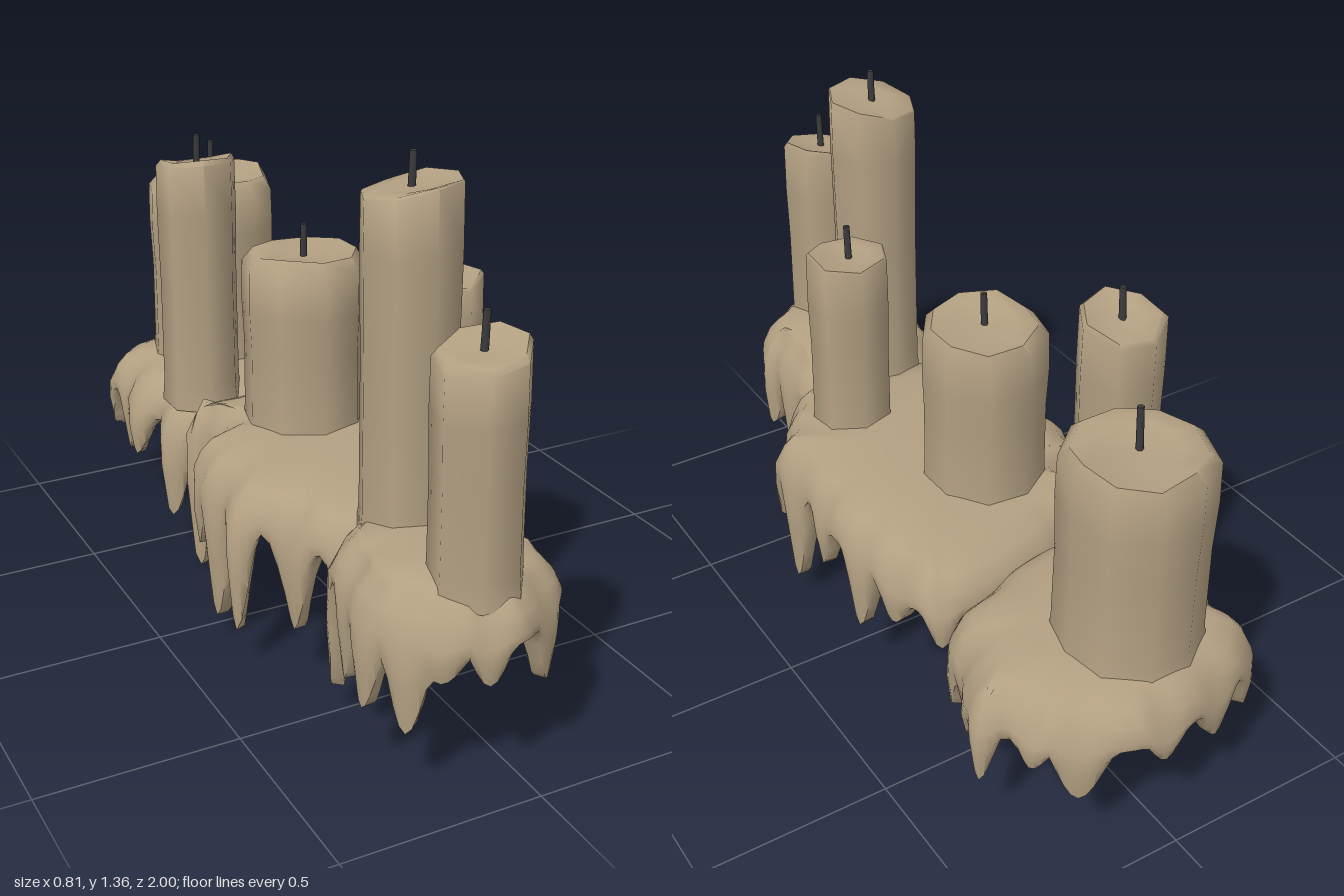
import * as THREE from 'three';
import { toCreasedNormals } from 'three/addons/utils/BufferGeometryUtils.js';

const wax = new THREE.MeshStandardMaterial({ color: 0xb3a082 });
wax.name = 'wax';
const char = new THREE.MeshStandardMaterial({ color: 0x3c3c3e });
char.name = 'charredWick';

let seed = 7;
const rand = () => (seed = (seed * 16807) % 2147483647) / 2147483647;

// Skin a list of closed rings (arrays of Vector3), from top centre outward and down
function loft(rings) {
  const n = rings[0].length, pos = [], idx = [];
  rings.forEach(r => r.forEach(p => pos.push(p.x, p.y, p.z)));
  for (let k = 0; k < rings.length - 1; k++) {
    for (let j = 0; j < n; j++) {
      const a = k * n + j, b = k * n + (j + 1) % n, c = a + n, d = b + n;
      idx.push(a, b, c, b, d, c);
    }
  }
  const g = new THREE.BufferGeometry();
  g.setAttribute('position', new THREE.Float32BufferAttribute(pos, 3));
  g.setIndex(idx);
  return toCreasedNormals(g, 1.15);
}

// Puddle of hardened wax with a hollow underside and a skirt of drips.
// outline: [x, z]; drips: [x, z, tip height]
function pool(name, cx, cz, top, samples, outline, drips) {
  const curve = new THREE.CatmullRomCurve3(
    outline.map(([x, z]) => new THREE.Vector3(x, 0, z)), true, 'catmullrom', 0.5);
  const edge = curve.getSpacedPoints(samples).slice(0, samples);
  const lip = top - 0.12;
  const tips = drips.map(([x, z, y], i) => {
    const q = new THREE.Vector3(x, 0, z);
    const p = edge.reduce((m, e) => (e.distanceTo(q) < m.distanceTo(q) ? e : m));
    return { p, y, w: 0.07 + 0.012 * (i % 3) };
  });
  // bottom height and drip strength at each sample
  const hang = edge.map(e => {
    let y = lip, s = 0;
    for (const t of tips) {
      const u = Math.min(1, e.distanceTo(t.p) / t.w);
      const f = Math.pow(Math.cos(u * Math.PI / 2), 1.7);
      y = Math.min(y, lip + (t.y - lip) * f);
      s = Math.max(s, f);
    }
    return { y, s };
  });
  const inward = edge.map((e, j) => {
    const t = edge[(j + 1) % samples].clone().sub(edge[(j + samples - 1) % samples]).normalize();
    return new THREE.Vector3(-t.z, 0, t.x);
  });
  const scaled = (s, y) => edge.map(e =>
    new THREE.Vector3(cx + (e.x - cx) * s, y, cz + (e.z - cz) * s));
  const offset = (d, y) => edge.map((e, j) => {
    const p = e.clone().addScaledVector(inward[j], d(hang[j]));
    p.y = y(hang[j]);
    return p;
  });
  const mesh = new THREE.Mesh(loft([
    scaled(0, top), scaled(0.45, top - 0.002), scaled(0.72, top - 0.012),
    offset(h => 0.048 + 0.012 * h.s, () => top - 0.032),
    offset(h => 0.02 + 0.012 * h.s, () => top - 0.064),
    offset(h => 0.004 - 0.002 * h.s, h => top - 0.1 - 0.025 * h.s),
    offset(h => 0.006 - 0.008 * h.s, h => lip + (h.y - lip) * 0.5),
    offset(h => 0.014 - 0.006 * h.s, h => h.y),
    offset(h => 0.045 - 0.005 * h.s, h => h.y),
    offset(h => 0.068, h => lip + 0.005 + (h.y - lip) * 0.4),
    scaled(0.72, top - 0.1), scaled(0, top - 0.1),
  ]), wax);
  mesh.name = name;
  return mesh;
}

// Candle with an uneven melted rim, pulled in toward +x / -z, a sunken top and a wick
function candle({ x, z, r, sides, base, top, tilt = [0, 0], dip, bevel, wick, turn = 0 }) {
  const g = new THREE.Group();
  g.name = 'candle';
  const wob = Array.from({ length: sides }, () => [0.96 + 0.09 * rand(), (rand() - 0.5) * 0.022]);
  const ring = (s, y, k, drop = 0, shift = 0) => wob.map(([wr, wy], j) => {
    const a = turn + j / sides * Math.PI * 2;
    const dx = Math.cos(a) * r * s * wr, dz = Math.sin(a) * r * s * wr;
    return new THREE.Vector3(
      x + dx + shift, y - drop + k * (wy + dx * tilt[0] + dz * tilt[1]), z + dz - shift);
  });
  const body = new THREE.Mesh(loft([
    ring(0, top, 0, dip), ring(0.55, top, 0.5, dip * 0.8), ring(1 - bevel, top, 1, 0, bevel * r * 0.4),
    ring(1.005, top, 1, bevel * r * 1.3), ring(1.02, top - 0.14, 0.4),
    ring(0.99, (top + base) / 2, 0), ring(1, base + 0.06, 0),
    ring(1.05, base, 0), ring(0, base, 0),
  ]), wax);
  body.name = 'candleBody';
  const h = wick - top + dip + 0.02;
  const stem = new THREE.Mesh(new THREE.CylinderGeometry(0.008, 0.009, h, 6), char);
  stem.position.set(x, wick - h / 2, z);
  stem.rotation.x = 0.06;
  stem.name = 'wick';
  g.add(body, stem);
  return g;
}

export function createModel() {
  const model = new THREE.Group();
  model.name = 'candleCluster';

  // Wax puddles
  model.add(pool('backPool', 0.02, -0.68, 0.475, 130, [
    [0.03, -1], [0.16, -0.98], [0.31, -0.88], [0.34, -0.8], [0.405, -0.75], [0.38, -0.66],
    [0.33, -0.57], [0.31, -0.48], [0.24, -0.43], [0.05, -0.36], [-0.18, -0.34], [-0.31, -0.41],
    [-0.28, -0.53], [-0.33, -0.61], [-0.3, -0.74], [-0.3, -0.87], [-0.18, -0.95],
  ], [
    [0.4, -0.75, 0.2], [0.37, -0.65, 0.25], [0.32, -0.56, 0.24], [0.31, -0.47, 0.17],
    [0.33, -0.85, 0.28], [0.25, -0.93, 0.21], [0.05, -1, 0.29], [-0.12, -0.97, 0.25],
    [-0.28, -0.89, 0.21], [-0.3, -0.74, 0.19], [-0.33, -0.61, 0.23],
    [-0.3, -0.4, 0.12], [-0.1, -0.34, 0.29], [0.18, -0.4, 0.29],
  ]));
  model.add(pool('middlePool', 0, 0.04, 0.512, 170, [
    [0.08, -0.43], [0.22, -0.44], [0.32, -0.4], [0.35, -0.24], [0.37, -0.03], [0.355, 0.16],
    [0.35, 0.34], [0.29, 0.4], [0.24, 0.48], [0.15, 0.55], [0, 0.52], [-0.2, 0.51],
    [-0.29, 0.4], [-0.31, 0.32], [-0.4, 0.24], [-0.375, 0.13], [-0.38, 0], [-0.34, -0.13],
    [-0.27, -0.18], [-0.26, -0.29], [-0.27, -0.34], [-0.13, -0.37],
  ], [
    [0.24, 0.48, 0.16], [0.33, 0.37, 0.2], [0.34, 0.24, 0.08], [0.36, 0.07, 0.25],
    [0.36, -0.13, 0.18], [0.34, -0.27, 0.29], [0.29, -0.42, 0.29],
    [-0.13, -0.37, 0.13], [-0.26, -0.31, 0], [-0.31, -0.15, 0.2], [-0.37, -0.04, 0.22],
    [-0.37, 0.08, 0.07], [-0.39, 0.24, 0.12], [-0.3, 0.36, 0.16], [-0.2, 0.51, 0.24],
    [0, 0.52, 0.3], [0.13, 0.55, 0.25],
  ]));
  model.add(pool('frontPool', -0.09, 0.72, 0.525, 110, [
    [0.06, 0.45], [0.13, 0.53], [0.15, 0.64], [0.14, 0.77], [0.15, 0.81], [0.1, 0.9],
    [0, 0.97], [-0.08, 1], [-0.21, 0.96], [-0.29, 0.89], [-0.34, 0.79], [-0.32, 0.66],
    [-0.29, 0.53], [-0.2, 0.46], [-0.07, 0.43],
  ], [
    [0.05, 0.94, 0.25], [0.15, 0.79, 0.19], [0.14, 0.67, 0.16], [0.12, 0.55, 0.26],
    [-0.3, 0.89, 0.18], [-0.34, 0.78, 0.2], [-0.32, 0.66, 0.2], [-0.28, 0.5, 0.09],
    [-0.23, 0.95, 0.32], [-0.13, 0.99, 0.31],
  ]));

  // Candles, back to front
  [
    { x: -0.01, z: -0.742, r: 0.175, sides: 10, base: 0.43, top: 0.985, dip: 0.012, bevel: 0.15, wick: 1.08 },
    { x: -0.17, z: -0.455, r: 0.103, sides: 7, base: 0.43, top: 1.11, tilt: [0, 0.2], dip: 0.01, bevel: 0.1, wick: 1.18 },
    { x: -0.04, z: -0.085, r: 0.158, sides: 9, base: 0.46, top: 0.95, tilt: [0, 0.03], dip: 0.015, bevel: 0.15, wick: 1.02, turn: 0.3 },
    { x: 0.112, z: 0.322, r: 0.105, sides: 7, base: 0.46, top: 0.985, dip: 0.014, bevel: 0.06, wick: 1.06, turn: 0.4 },
    { x: -0.085, z: 0.532, r: 0.113, sides: 8, base: 0.46, top: 1.285, tilt: [0.1, 0.13], dip: 0.005, bevel: 0.03, wick: 1.36 },
    { x: -0.095, z: 0.855, r: 0.108, sides: 7, base: 0.47, top: 1.03, tilt: [0.1, -0.03], dip: 0.01, bevel: 0.1, wick: 1.11, turn: 0.2 },
  ].forEach(c => model.add(candle(c)));

  return model;
}
